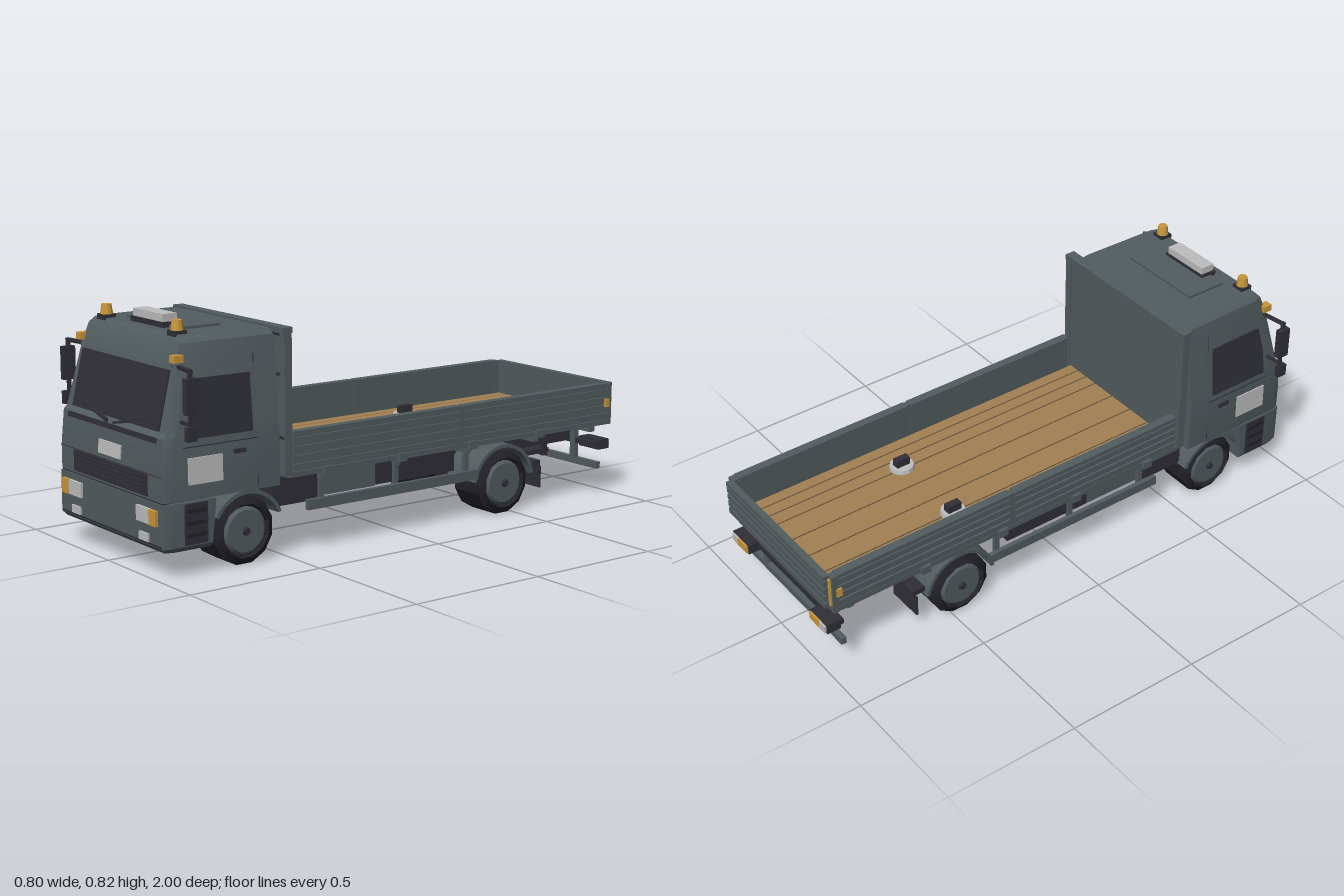
import * as THREE from 'three';
import { toCreasedNormals } from 'three/addons/utils/BufferGeometryUtils.js';

const paint = (name, color) => Object.assign(new THREE.MeshStandardMaterial({ color }), { name });

export function createModel() {
  const root = new THREE.Group();
  root.name = 'flatbedTruck';
  const body = paint('body grey', 0x525c5f), dark = paint('dark trim', 0x302f38);
  const tyre = paint('tyre black', 0x222227), white = paint('lamp white', 0xbebebe);
  const amber = paint('amber', 0xc8973c), wood = paint('deck wood', 0xa38053);
  const gap = paint('plank gap', 0x4c4032);

  const add = (name, mat, geo) => {
    const m = new THREE.Mesh(toCreasedNormals(geo, 0.45), mat);
    m.name = name;
    root.add(m);
    return m;
  };
  // Box given by its limits on each axis
  const box = (name, mat, x0, x1, y0, y1, z0, z1) => add(name, mat,
    new THREE.BoxGeometry(Math.abs(x1 - x0), y1 - y0, z1 - z0)
      .translate((x0 + x1) / 2, (y0 + y1) / 2, (z0 + z1) / 2));
  const pair = (name, mat, x0, x1, ...r) => [1, -1].forEach(s => box(name, mat, s * x0, s * x1, ...r));
  // Straight square bar between two points
  const bar = (name, mat, a, b, t) => {
    const A = new THREE.Vector3(...a), d = new THREE.Vector3(...b).sub(A);
    const q = new THREE.Quaternion().setFromUnitVectors(new THREE.Vector3(0, 1, 0), d.clone().normalize());
    const m = add(name, mat, new THREE.BoxGeometry(t, d.length(), t));
    m.position.copy(A.addScaledVector(d, 0.5));
    m.quaternion.copy(q);
  };
  // Closed solid through convex rings, turned outward by its signed volume
  const loft = rings => {
    const n = rings[0].length, p = rings.flat(), tri = [];
    for (let i = 0; i < rings.length - 1; i++) for (let j = 0; j < n; j++) {
      const a = i * n + j, b = i * n + (j + 1) % n;
      tri.push([a, b, b + n], [a, b + n, a + n]);
    }
    const top = (rings.length - 1) * n;
    for (let j = 1; j < n - 1; j++) tri.push([0, j + 1, j], [top, top + j, top + j + 1]);
    const V = i => new THREE.Vector3(...p[i]);
    const vol = tri.reduce((s, [a, b, c]) => s + V(a).dot(V(b).cross(V(c))), 0);
    if (vol < 0) tri.forEach(t => t.reverse());
    const g = new THREE.BufferGeometry();
    g.setAttribute('position', new THREE.Float32BufferAttribute(tri.flat().flatMap(i => p[i]), 3));
    g.computeVertexNormals();
    return g;
  };

  // Cab shell: y, front z, front half width, side half width, rear half width, rear z
  const cab = [
    [0.255, 0.985, 0.322, 0.335, 0.335, 0.54], [0.34, 0.985, 0.322, 0.334, 0.335, 0.54],
    [0.46, 0.975, 0.318, 0.33, 0.332, 0.54], [0.475, 0.962, 0.316, 0.328, 0.33, 0.54],
    [0.69, 0.912, 0.292, 0.304, 0.312, 0.54], [0.755, 0.888, 0.285, 0.296, 0.302, 0.54],
    [0.775, 0.87, 0.27, 0.278, 0.282, 0.55]];
  const ring = ([y, zf, xf, xs, xb, zb]) => [[xf, y, zf], [xs, y, zf - 0.03], [xb, y, zb],
    [-xb, y, zb], [-xs, y, zf - 0.03], [-xf, y, zf]];
  add('cabShell', body, loft(cab.map(ring)));
  const bumper = [[0.09, 0.975, 0.315, 0.325, 0.325, 0.805], [0.105, 0.988, 0.325, 0.335, 0.335, 0.805],
    [0.25, 0.988, 0.325, 0.336, 0.336, 0.79]];
  add('bumper', body, loft(bumper.map(ring)));
  box('bumperSeam', dark, -0.32, 0.32, 0.108, 0.113, 0.97, 0.99);
  box('bumperTopSeam', dark, -0.32, 0.32, 0.249, 0.256, 0.8, 0.983);

  const at = y => {
    const i = Math.max(1, cab.findIndex(s => s[0] >= y)), a = cab[i - 1], b = cab[i];
    const t = (y - a[0]) / (b[0] - a[0]);
    return a.map((v, k) => v + (b[k] - v) * t);
  };
  const sideX = (z, y) => {
    const [, zf, , xs, xb, zb] = at(y);
    return xs + (xb - xs) * (zf - 0.03 - z) / (zf - 0.03 - zb);
  };
  // Thin plates that follow the cab front or both cab sides
  const frontPlate = (name, mat, x0, x1, y0, y1, off = 0.005) => {
    const c = [[x0, y0], [x1, y0], [x1, y1], [x0, y1]];
    add(name, mat, loft([-0.003, off].map(o => c.map(([x, y]) => [x, y, at(y)[1] + o]))));
  };
  const sidePlate = (name, mat, pts, off = 0.005) => [1, -1].forEach(s => add(name, mat,
    loft([-0.003, off].map(o => pts.map(([z, y]) => [s * (sideX(z, y) + o), y, z])))));
  const rect = (z0, z1, y0, y1) => [[z0, y0], [z1, y0], [z1, y1], [z0, y1]];

  // Cab front
  frontPlate('windscreen', dark, -0.275, 0.275, 0.478, 0.67);
  frontPlate('windscreenLip', body, -0.285, 0.285, 0.678, 0.689, 0.008);
  frontPlate('scuttleStrip', dark, -0.279, 0.279, 0.442, 0.459);
  frontPlate('frontPlate', white, -0.07, 0.07, 0.354, 0.4);
  frontPlate('panelSeam', dark, -0.32, 0.32, 0.337, 0.339, 0.002);
  frontPlate('grille', dark, -0.235, 0.235, 0.263, 0.335, 0.003);
  for (let i = 0; i < 4; i++) frontPlate('grilleSlat', dark, -0.22, 0.22, 0.272 + i * 0.015, 0.282 + i * 0.015, 0.009);
  pair('headlight', white, 0.178, 0.26, 0.177, 0.228, 0.985, 0.997);
  pair('indicator', amber, 0.26, 0.3, 0.177, 0.228, 0.985, 1.0);
  pair('fogLight', white, 0.19, 0.245, 0.116, 0.143, 0.985, 0.995);
  for (const s of [1, -1]) {
    bar('wiperArm', dark, [s * 0.02, 0.467, 0.98], [s * 0.12, 0.487, 0.972], 0.008);
    bar('wiperBlade', dark, [s * 0.03, 0.47, 0.976], [s * 0.19, 0.502, 0.966], 0.008);
  }
  pair('cornerMarker', amber, 0.28, 0.31, 0.696, 0.72, 0.89, 0.925);

  // Cab sides
  sidePlate('sideWindow', dark, [[0.645, 0.452], [0.89, 0.452], [0.885, 0.55], [0.865, 0.642], [0.645, 0.642]]);
  sidePlate('doorPanel', white, rect(0.765, 0.895, 0.305, 0.392));
  sidePlate('doorHandle', dark, rect(0.675, 0.72, 0.386, 0.4), 0.008);
  sidePlate('doorSeam', dark, rect(0.625, 0.628, 0.27, 0.7), 0.002);
  sidePlate('doorSill', dark, rect(0.628, 0.91, 0.425, 0.428), 0.002);
  pair('stepWell', dark, 0.33, 0.34, 0.11, 0.245, 0.825, 0.912);
  for (const y of [0.135, 0.175, 0.215]) pair('step', tyre, 0.335, 0.343, y, y + 0.012, 0.832, 0.905);

  // Roof equipment
  box('roofHatch', body, -0.167, 0.167, 0.77, 0.784, 0.655, 0.81);
  box('lightBarBase', dark, -0.1, 0.1, 0.775, 0.793, 0.77, 0.835);
  box('lightBar', white, -0.093, 0.093, 0.793, 0.819, 0.775, 0.83);
  for (const s of [1, -1]) {
    box('beaconBase', dark, s * 0.197, s * 0.245, 0.768, 0.786, 0.833, 0.879);
    add('beacon', amber, new THREE.CylinderGeometry(0.017, 0.022, 0.034, 10).translate(s * 0.221, 0.803, 0.856));
  }

  // Mirrors
  for (const s of [1, -1]) {
    bar('mirrorUpperArm', dark, [s * 0.29, 0.682, 0.9], [s * 0.393, 0.682, 0.915], 0.012);
    bar('mirrorLowerArm', dark, [s * 0.32, 0.51, 0.91], [s * 0.393, 0.51, 0.915], 0.01);
    bar('mirrorPost', dark, [s * 0.385, 0.5, 0.915], [s * 0.385, 0.688, 0.915], 0.012);
    box('mirrorMain', dark, s * 0.377, s * 0.4, 0.545, 0.66, 0.892, 0.938);
    box('mirrorWide', dark, s * 0.381, s * 0.401, 0.46, 0.505, 0.9, 0.936);
  }

  // Headboard
  box('headboard', body, -0.325, 0.325, 0.28, 0.765, 0.493, 0.512);
  box('headboardCap', body, -0.333, 0.333, 0.755, 0.775, 0.485, 0.524);
  pair('headboardPost', body, 0.305, 0.333, 0.28, 0.76, 0.488, 0.518);
  for (const y of [0.4, 0.61, 0.745]) box('headboardRib', dark, -0.328, 0.328, y, y + 0.012, 0.508, 0.518);
  pair('headboardBrace', body, 0.085, 0.12, 0.26, 0.765, 0.505, 0.53);

  // Load deck with planks
  box('deckBase', body, -0.315, 0.315, 0.268, 0.286, -0.975, 0.493);
  box('plankGaps', gap, -0.302, 0.302, 0.285, 0.29, -0.978, 0.493);
  const edges = [-0.302, -0.255, -0.155, -0.055, 0.05, 0.15, 0.205, 0.255, 0.302];
  for (let i = 0; i < edges.length - 1; i++)
    box('plank', wood, edges[i] + 0.003, edges[i + 1] - 0.003, 0.285, 0.293, -0.978, 0.493);
  for (const s of [1, -1]) {
    add('deckSocket', white, new THREE.CylinderGeometry(0.044, 0.046, 0.016, 12).translate(s * 0.158, 0.3, -0.38));
    box('twistLock', dark, s * 0.144, s * 0.172, 0.3, 0.336, -0.407, -0.353);
  }

  // Drop sides: two ribbed panels on each side, with posts and latches
  for (const [z0, z1] of [[-0.24, 0.478], [-0.955, -0.255]]) {
    pair('dropSide', body, 0.302, 0.32, 0.288, 0.42, z0, z1);
    for (let i = 0; i < 4; i++) pair('sideRib', body, 0.315, 0.328, 0.29 + i * 0.03, 0.313 + i * 0.03, z0, z1);
    pair('sideTopRail', body, 0.298, 0.33, 0.41, 0.425, z0, z1);
  }
  pair('middlePost', body, 0.305, 0.327, 0.275, 0.424, -0.258, -0.237);
  pair('rearPost', body, 0.3, 0.33, 0.27, 0.422, -0.976, -0.955);
  pair('sideMarker', amber, 0.325, 0.335, 0.337, 0.368, -0.963, -0.942);
  pair('deckSill', body, 0.3, 0.328, 0.27, 0.288, -0.965, 0.493);
  for (const z of [0.345, 0.025, -0.295, -0.615]) pair('latch', body, 0.31, 0.34, 0.264, 0.293, z - 0.018, z + 0.018);

  // Tailgate
  box('tailgate', body, -0.302, 0.302, 0.288, 0.42, -0.988, -0.974);
  for (let i = 0; i < 4; i++) box('tailgateRib', body, -0.31, 0.31, 0.288 + i * 0.03, 0.311 + i * 0.03, -0.997, -0.985);
  box('tailgateRail', body, -0.31, 0.31, 0.408, 0.423, -0.998, -0.974);
  pair('tailMarker', amber, 0.31, 0.322, 0.3, 0.41, -0.982, -0.975);

  // Chassis
  pair('chassisRail', dark, 0.095, 0.125, 0.175, 0.268, -0.94, 0.84);
  for (const z of [0.4, 0.1, -0.2, -0.68, -0.9]) box('crossMember', dark, -0.1, 0.1, 0.19, 0.25, z - 0.015, z + 0.015);
  for (const z of [0.345, 0.025, -0.295, -0.615, -0.9]) box('deckBearer', body, -0.31, 0.31, 0.245, 0.27, z - 0.012, z + 0.012);
  box('engine', dark, -0.1, 0.1, 0.13, 0.3, 0.5, 0.8);
  pair('sideTank', dark, 0.125, 0.29, 0.17, 0.265, 0.35, 0.54);
  pair('toolLocker', body, 0.125, 0.285, 0.18, 0.268, 0.105, 0.335);
  pair('fuelTank', dark, 0.125, 0.29, 0.185, 0.265, -0.245, 0.105);
  pair('guardRail', body, 0.298, 0.315, 0.145, 0.18, -0.34, 0.41);
  for (const z of [0.345, 0.025, -0.295]) pair('guardHanger', body, 0.285, 0.3, 0.15, 0.27, z - 0.01, z + 0.01);
  add('driveShaft', tyre, new THREE.CylinderGeometry(0.018, 0.018, 0.96, 8).rotateX(Math.PI / 2).translate(0, 0.145, 0.02));

  // Wheels, axles and arches
  const profile = [[0.03, -0.07], [0.09, -0.078], [0.117, -0.065], [0.117, 0.062], [0.092, 0.078], [0.085, 0.066], [0, 0.066]]
    .map(p => new THREE.Vector2(...p));
  const archGeo = (a0, a1) => {
    const s = new THREE.Shape();
    s.absarc(0, 0, 0.143, a0, a1, false);
    s.absarc(0, 0, 0.13, a1, a0, true);
    return new THREE.ExtrudeGeometry(s, { depth: 0.15, bevelEnabled: false, curveSegments: 10 })
      .rotateY(-Math.PI / 2).translate(0.075, 0, 0);
  };
  for (const [z, front] of [[0.665, true], [-0.46, false]]) {
    add('axle', dark, new THREE.CylinderGeometry(0.026, 0.026, 0.44, 8).rotateZ(Math.PI / 2).translate(0, 0.115, z));
    for (const s of [1, -1]) {
      const turn = -s * Math.PI / 2;
      const put = m => m.position.set(s * 0.243, 0.115, z);
      put(add('tyre', tyre, new THREE.LatheGeometry(profile, 12, Math.PI / 12).rotateZ(turn)));
      put(add('wheelDisc', body, new THREE.CylinderGeometry(0.072, 0.085, 0.012, 16).translate(0, 0.07, 0).rotateZ(turn)));
      put(add('hubCap', dark, new THREE.CylinderGeometry(0.012, 0.016, 0.012, 8).translate(0, 0.08, 0).rotateZ(turn)));
      const arch = add(front ? 'frontArch' : 'rearArch', body, front ? archGeo(0.5, 2.75) : archGeo(0.15, 3.0));
      arch.position.set(s * 0.25, 0.113, z);
      arch.position.x = s * (front ? 0.258 : 0.24);
    }
  }
  add('differential', dark, new THREE.SphereGeometry(0.06, 8, 6).translate(0, 0.115, -0.46));
  pair('springPack', dark, 0.125, 0.155, 0.145, 0.165, -0.62, -0.3);
  pair('rearFrame', dark, 0.125, 0.16, 0.185, 0.268, -0.93, -0.57);
  pair('mudFlap', dark, 0.17, 0.31, 0.07, 0.15, -0.645, -0.637);
  pair('mudFlapArm', dark, 0.12, 0.3, 0.15, 0.17, -0.65, -0.6);

  // Tail equipment
  box('spareCarrier', dark, -0.12, 0.12, 0.14, 0.158, -0.86, -0.66);
  for (const z of [-0.69, -0.84]) pair('carrierStrut', dark, 0.1, 0.12, 0.13, 0.2, z - 0.012, z + 0.012);
  box('tailBeam', dark, -0.3, 0.3, 0.18, 0.2, -0.955, -0.925);
  box('underrunBar', body, -0.31, 0.31, 0.1, 0.125, -0.945, -0.925);
  pair('underrunPost', body, 0.17, 0.195, 0.11, 0.268, -0.942, -0.922);
  pair('lampHousing', dark, 0.2, 0.305, 0.17, 0.207, -0.993, -0.94);
  pair('tailLamp', amber, 0.205, 0.265, 0.174, 0.203, -1.0, -0.992);
  pair('reverseLamp', white, 0.265, 0.3, 0.174, 0.203, -1.0, -0.992);
  return root;
}
